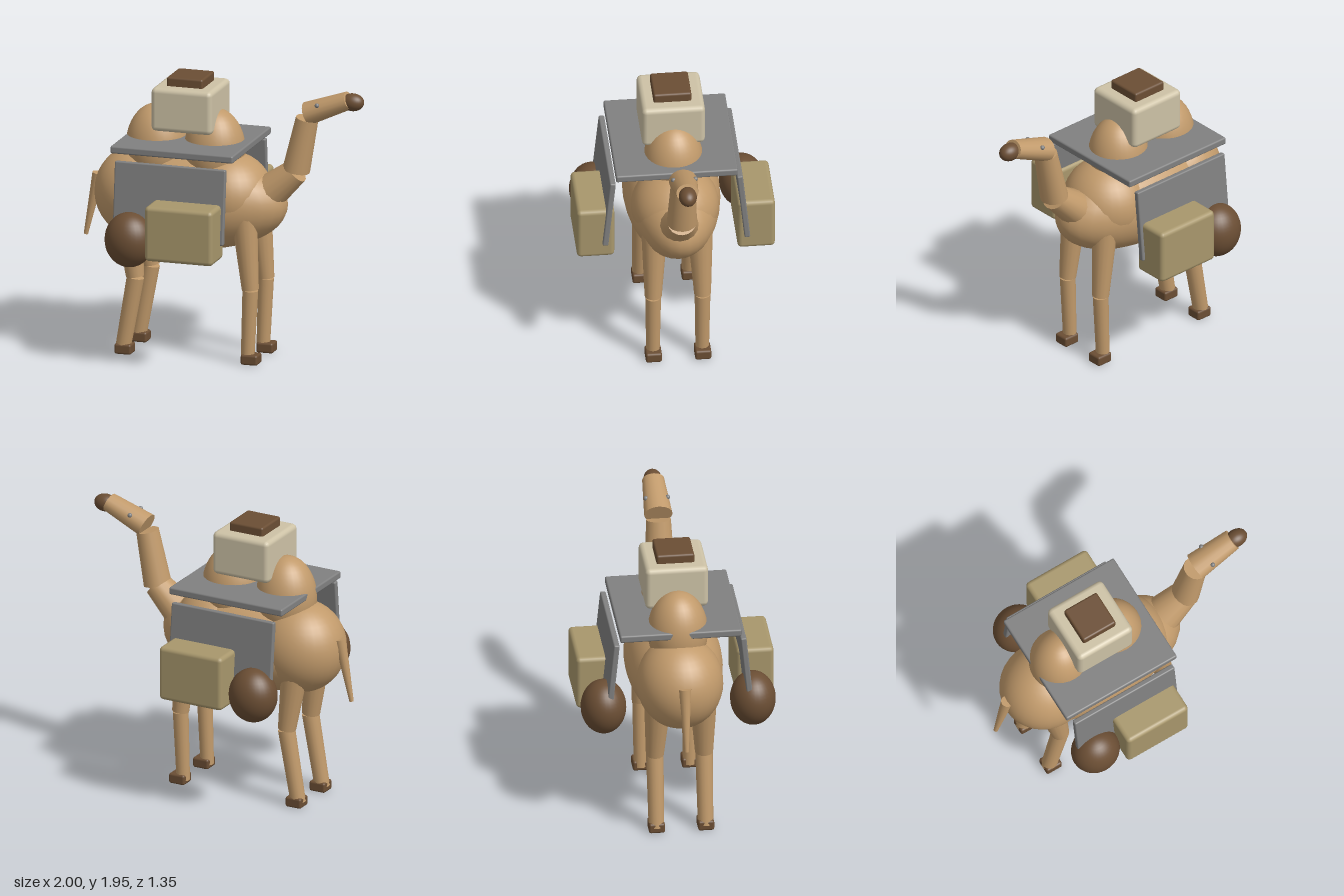
import * as THREE from 'three';
import { RoundedBoxGeometry } from 'three/addons/geometries/RoundedBoxGeometry.js';

function material(name, color) {
  const m = new THREE.MeshStandardMaterial({ color });
  m.name = name;
  return m;
}

export function createModel() {
  const root = new THREE.Group();
  root.name = 'packCamel';

  const tan = material('tan hide', 0xc19a6b);
  const brown = material('dark brown', 0x6b4e34);
  const grey = material('saddle grey', 0x808080);
  const khaki = material('khaki bag', 0xa8976c);
  const cream = material('cream pack', 0xcdc2a6);

  function add(name, geometry, mat, pos = [0, 0, 0]) {
    const mesh = new THREE.Mesh(geometry, mat);
    mesh.name = name;
    mesh.position.set(...pos);
    root.add(mesh);
    return mesh;
  }

  // Ellipsoid with given centre and radii
  function ball(name, mat, pos, radii) {
    const mesh = add(name, new THREE.SphereGeometry(1, 32, 22), mat, pos);
    mesh.scale.set(...radii);
    return mesh;
  }

  // Tapered limb from a (radius ra) to b (radius rb), optionally widened in z
  function limb(name, mat, a, b, ra, rb, widen = 1) {
    const from = new THREE.Vector3(...a);
    const to = new THREE.Vector3(...b);
    const dir = to.clone().sub(from);
    const geo = new THREE.CylinderGeometry(rb, ra, dir.length(), 16);
    geo.scale(1, 1, widen);
    const mesh = add(name, geo, mat, from.add(to).multiplyScalar(0.5).toArray());
    mesh.quaternion.setFromUnitVectors(new THREE.Vector3(0, 1, 0), dir.normalize());
    return mesh;
  }

  // Box with bevelled edges
  function box(name, mat, pos, size, bevel) {
    return add(name, new RoundedBoxGeometry(...size, 2, bevel), mat, pos);
  }

  // Body and humps
  ball('belly', tan, [-0.22, 1.075, 0], [0.67, 0.335, 0.33]);
  ball('rump', tan, [-0.6, 1.1, 0], [0.31, 0.32, 0.295]);
  ball('chest', tan, [0.04, 1.13, 0], [0.3, 0.295, 0.3]);
  ball('rearHump', tan, [-0.48, 1.43, 0], [0.21, 0.295, 0.205]);
  ball('frontHump', tan, [-0.065, 1.43, 0], [0.21, 0.295, 0.205]);

  // Neck, head and tail
  limb('lowerNeck', tan, [0.24, 1.095, 0], [0.52, 1.335, 0], 0.14, 0.088, 1.1);
  limb('upperNeck', tan, [0.517, 1.34, 0], [0.595, 1.71, 0], 0.094, 0.077, 1.1);
  limb('head', tan, [0.6, 1.745, 0], [0.89, 1.86, 0], 0.081, 0.063, 1.2);
  ball('snout', brown, [0.92, 1.85, 0], [0.08, 0.061, 0.061]);
  limb('tail', tan, [-0.895, 1.2, 0], [-0.985, 0.765, 0], 0.042, 0.015);

  for (const s of [1, -1]) {
    const side = s > 0 ? 'left' : 'right';
    // Front face of the animal points along +x, so sides are told by z here
    ball(side + 'Eye', grey, [0.69, 1.825, s * 0.075], [0.016, 0.016, 0.016]);

    // Legs and feet
    limb(side + 'FrontThigh', tan, [0.195, 1.05, s * 0.155], [0.245, 0.52, s * 0.168], 0.09, 0.058);
    limb(side + 'FrontShin', tan, [0.245, 0.515, s * 0.168], [0.225, 0.025, s * 0.168], 0.054, 0.046);
    box(side + 'FrontFoot', brown, [0.25, 0.036, s * 0.168], [0.12, 0.072, 0.11], 0.015);
    limb(side + 'RearThigh', tan, [-0.635, 1.0, s * 0.155], [-0.578, 0.545, s * 0.168], 0.095, 0.062);
    limb(side + 'RearShin', tan, [-0.575, 0.54, s * 0.168], [-0.665, 0.03, s * 0.168], 0.06, 0.053);
    box(side + 'RearFoot', brown, [-0.652, 0.036, s * 0.168], [0.12, 0.072, 0.11], 0.015);

    // Tilted saddle flap, bag and round bundle
    const flap = box(side + 'SaddleFlap', grey, [-0.235, 1.16, s * 0.458], [0.79, 0.52, 0.04], 0.01);
    flap.rotation.x = -s * 0.1;
    box(side + 'Bag', khaki, [-0.104, 0.988, s * 0.547], [0.485, 0.384, 0.256], 0.03);
    ball(side + 'Bundle', brown, [-0.505, 0.895, s * 0.51], [0.17, 0.19, 0.155]);
  }

  // Saddle board and top load
  box('saddleBoard', grey, [-0.237, 1.486, 0], [0.875, 0.052, 0.83], 0.012);
  box('topPack', cream, [-0.237, 1.735, 0], [0.435, 0.305, 0.43], 0.035);
  box('topBundle', brown, [-0.238, 1.905, 0], [0.258, 0.09, 0.258], 0.015);

  return root;
}
